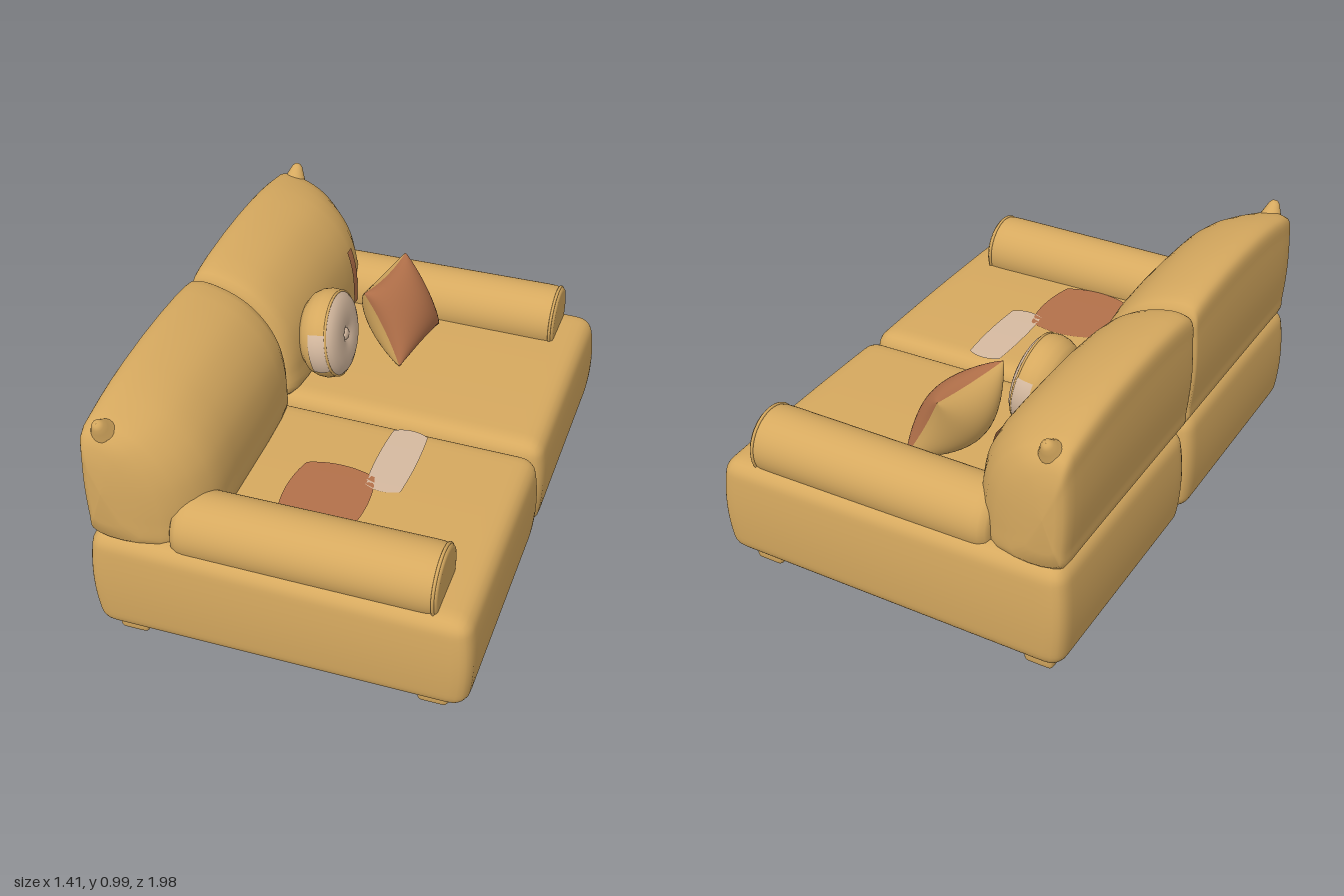
import * as THREE from 'three';
import { mergeVertices } from 'three/addons/utils/BufferGeometryUtils.js';

const mat = (name, color) => new THREE.MeshStandardMaterial({ name, color, side: THREE.DoubleSide });

// Move every vertex by a rule, then smooth the normals
function deform(geo, rule) {
  const p = geo.attributes.position, v = new THREE.Vector3();
  for (let i = 0; i < p.count; i++) {
    rule(v.fromBufferAttribute(p, i));
    p.setXYZ(i, v.x, v.y, v.z);
  }
  geo.deleteAttribute('uv');
  geo.deleteAttribute('normal');
  const out = mergeVertices(geo, 1e-5);
  out.computeVertexNormals();
  return out;
}

// Rounded block with dense edges; extra rule bulges it
function softBox(hx, hy, hz, r, n, rule = () => {}) {
  const h = new THREE.Vector3(hx, hy, hz), inner = h.clone().subScalar(r), c = new THREE.Vector3();
  return deform(new THREE.BoxGeometry(2, 2, 2, n, n, n), v => {
    for (const k of ['x', 'y', 'z']) v[k] = Math.sin(v[k] * Math.PI / 2) * h[k];
    c.copy(v).clamp(inner.clone().negate(), inner);
    v.sub(c);
    if (v.length() > 0) v.setLength(r);
    v.add(c);
    rule(v);
  });
}

// Skin between equal-length rows of points
function loft(rows, closed) {
  const n = rows[0].length, idx = [];
  for (let i = 0; i < rows.length - 1; i++)
    for (let j = 0; j < (closed ? n : n - 1); j++) {
      const a = i * n + j, b = i * n + (j + 1) % n;
      idx.push(a, b, a + n, b, b + n, a + n);
    }
  const g = new THREE.BufferGeometry().setFromPoints(rows.flat());
  g.setIndex(idx);
  g.computeVertexNormals();
  return g;
}

function mirrorZ(geo) {
  const g = geo.clone().scale(1, 1, -1);
  g.setIndex(Array.from(g.index.array).reverse());
  g.computeVertexNormals();
  return g;
}

const lathe = (pts, seg = 48, start = 0, len = Math.PI * 2) =>
  new THREE.LatheGeometry(pts.map(p => new THREE.Vector2(...p)), seg, start, len);

const HX = 0.685, HY = 0.2125, HZ = 0.48, CY = 0.2675, CZ = 0.4975;
const lift = (x, z) => -0.015 * x / HX - 0.008 * (z / HZ) ** 2;

export function createModel() {
  const root = new THREE.Group();
  root.name = 'sofa';
  const tan = mat('tan fabric', 0xd6a95f);
  const rust = mat('rust fabric', 0xb3714a);
  const beige = mat('beige fabric', 0xd6baa0);
  const add = (name, geo, m, x = 0, y = 0, z = 0, parent = root) => {
    const mesh = new THREE.Mesh(geo, m);
    mesh.name = name;
    mesh.position.set(x, y, z);
    parent.add(mesh);
    return mesh;
  };

  // Bulging seat block, slightly higher at the back
  const baseGeo = softBox(HX, HY, HZ, 0.06, 28, v => {
    const Y = v.y / HY, t = (Y + 1) / 2, swell = 1 + 0.03 * (1 - Y * Y);
    v.y += t * lift(v.x, v.z);
    v.x *= swell;
    v.z *= swell;
  });

  // Back cushion: one side profile, shrunk towards both ends
  const profile = new THREE.CatmullRomCurve3([
    [-0.29, 0.47], [-0.277, 0.58], [-0.285, 0.68], [-0.31, 0.77], [-0.36, 0.855], [-0.44, 0.93],
    [-0.54, 0.975], [-0.64, 0.99], [-0.685, 0.97], [-0.698, 0.88], [-0.703, 0.72], [-0.69, 0.56], [-0.675, 0.48],
  ].map(([x, y]) => new THREE.Vector3(x, y, 0)), true).getPoints(64).slice(0, -1);
  // z, depth, height, closing
  const stations = [
    [0.003, 0.84, 0.9, 1], [0.004, 0.84, 0.905, 0.1], [0.012, 0.88, 0.92, 0], [0.03, 0.93, 0.945, 0],
    [0.07, 0.97, 0.965, 0], [0.15, 0.99, 0.985, 0], [0.3, 1, 1, 0], [0.45, 1, 1, 0], [0.6, 1, 0.985, 0],
    [0.7, 1, 0.965, 0], [0.78, 0.97, 0.94, 0], [0.85, 0.89, 0.91, 0], [0.905, 0.78, 0.885, 0],
    [0.94, 0.65, 0.85, 0.02], [0.962, 0.5, 0.8, 0.12], [0.974, 0.4, 0.74, 0.4], [0.978, 0.36, 0.7, 1],
  ];
  const cushionGeo = loft(stations.map(([z, d, h, k]) => profile.map(p => new THREE.Vector3(
    THREE.MathUtils.lerp(-0.69 + (p.x + 0.69) * d, -0.69 + 0.2 * d, k),
    THREE.MathUtils.lerp(0.48 + (p.y - 0.48) * h, 0.68, k), z))), true);

  const earGeo = lathe([[0.065, -0.06], [0.045, -0.02], [0.03, 0.015], [0.022, 0.035], [0.012, 0.047], [0, 0.05]], 20);
  const armGeo = lathe([[0, -0.4], [0.09, -0.4], [0.115, -0.388], [0.127, -0.365], [0.13, -0.34], [0.13, 0.5],
    [0.129, 0.535], [0.126, 0.55], [0.126, 0.562], [0.12, 0.569], [0.11, 0.571], [0, 0.571]]);
  const footGeo = softBox(0.058, 0.035, 0.064, 0.018, 10, v => {
    const s = 1 + v.y * 1.5;
    v.x *= s;
    v.z *= s;
  });

  for (const s of [1, -1]) {
    const side = s > 0 ? 'left' : 'right';
    add(side + 'SeatBase', baseGeo, tan, 0, CY, s * CZ);
    add(side + 'BackCushion', s > 0 ? cushionGeo : mirrorZ(cushionGeo), tan);
    add(side + 'CushionCorner', earGeo, tan, -0.615, 0.923, s * 0.922).rotation.x = s * 0.6;
    add(side + 'Armrest', armGeo, tan, 0, 0.51, s * 0.833).rotation.z = -Math.PI / 2;
    add(side + 'ArmPiping', new THREE.TorusGeometry(0.126, 0.006, 8, 48), tan, 0.556, 0.51, s * 0.833).rotation.y = Math.PI / 2;
    for (const x of [-0.578, 0.558]) add(side + 'Foot', footGeo, tan, x, 0.035, s * 0.865);
  }

  // Coloured patches lying on the seat
  const seatPatch = (name, m, cx, cz, hx, hz, round) =>
    add(name, deform(new THREE.PlaneGeometry(2, 2, 12, 12).rotateX(-Math.PI / 2), v => {
      const x = cx + v.x * hx * Math.sqrt(1 - round * v.z * v.z);
      const z = cz + v.z * hz * Math.sqrt(1 - round * v.x * v.x);
      v.set(x, CY + HY + lift(x, z - CZ) + 0.004, z);
    }), m);
  seatPatch('rustSeatPatch', rust, 0.03, 0.52, 0.155, 0.185, 0.28);
  seatPatch('beigeSeatPatch', beige, 0.207, 0.238, 0.075, 0.192, 0.2);

  // Narrow rust strip on the back cushion
  const strip = profile.filter(p => p.x > -0.34 && p.y > 0.49 && p.y < 0.77);
  add('rustBackStrip', loft([-0.71, -0.665].map(z =>
    strip.map(p => new THREE.Vector3(p.x + 0.007, 0.48 + (p.y - 0.48) * 0.97, z))), false), rust);

  // Round pillow
  const round = new THREE.Group();
  round.name = 'roundPillow';
  round.position.set(-0.222, 0.655, -0.225);
  round.rotation.z = -Math.PI / 2 + 0.15;
  root.add(round);
  const rim = [[0.172, -0.02], [0.176, 0.01], [0.173, 0.03], [0.165, 0.05]];
  add('pillowBody', lathe([[0, -0.08], [0.1, -0.08], [0.135, -0.07], [0.158, -0.05], ...rim]), tan, 0, 0, 0, round);
  add('pillowFace', lathe([[0.165, 0.05], [0.15, 0.066], [0.12, 0.078], [0.08, 0.083], [0.04, 0.079], [0.02, 0.068], [0, 0.064]]), beige, 0, 0, 0, round);
  add('pillowPiping', new THREE.TorusGeometry(0.166, 0.005, 8, 48).rotateX(Math.PI / 2), tan, 0, 0.048, 0, round);
  add('pillowButton', new THREE.SphereGeometry(0.024, 16, 10).scale(1, 0.5, 1), beige, 0, 0.07, 0, round);
  for (const a of [0, Math.PI])
    add('pillowSidePatch', lathe(rim.map(([r, y]) => [r + 0.003, y]), 16, a - 0.5, 1), beige, 0, 0, 0, round);

  // Square pillow: two pinched sheets with pointed corners
  const square = new THREE.Group();
  square.name = 'squarePillow';
  square.position.set(-0.01, 0.632, -0.51);
  square.rotation.set(-0.5, Math.PI / 2 - 0.18, 0, 'YXZ');
  root.add(square);
  const sheet = depth => deform(new THREE.PlaneGeometry(2, 2, 24, 24), v => {
    const u = Math.sin(v.x * Math.PI / 2), w = Math.sin(v.y * Math.PI / 2);
    const a = 1 - u * u, b = 1 - w * w;
    v.set(u * 0.175 * (1 - 0.09 * b), w * 0.168 * (1 - 0.09 * a), depth * Math.pow(Math.max(a * b, 0), 0.45));
  });
  add('squarePillowFront', sheet(0.095), rust, 0, 0, 0, square);
  add('squarePillowBack', sheet(0.14), tan, 0, 0, 0, square).rotation.y = Math.PI;

  return root;
}
